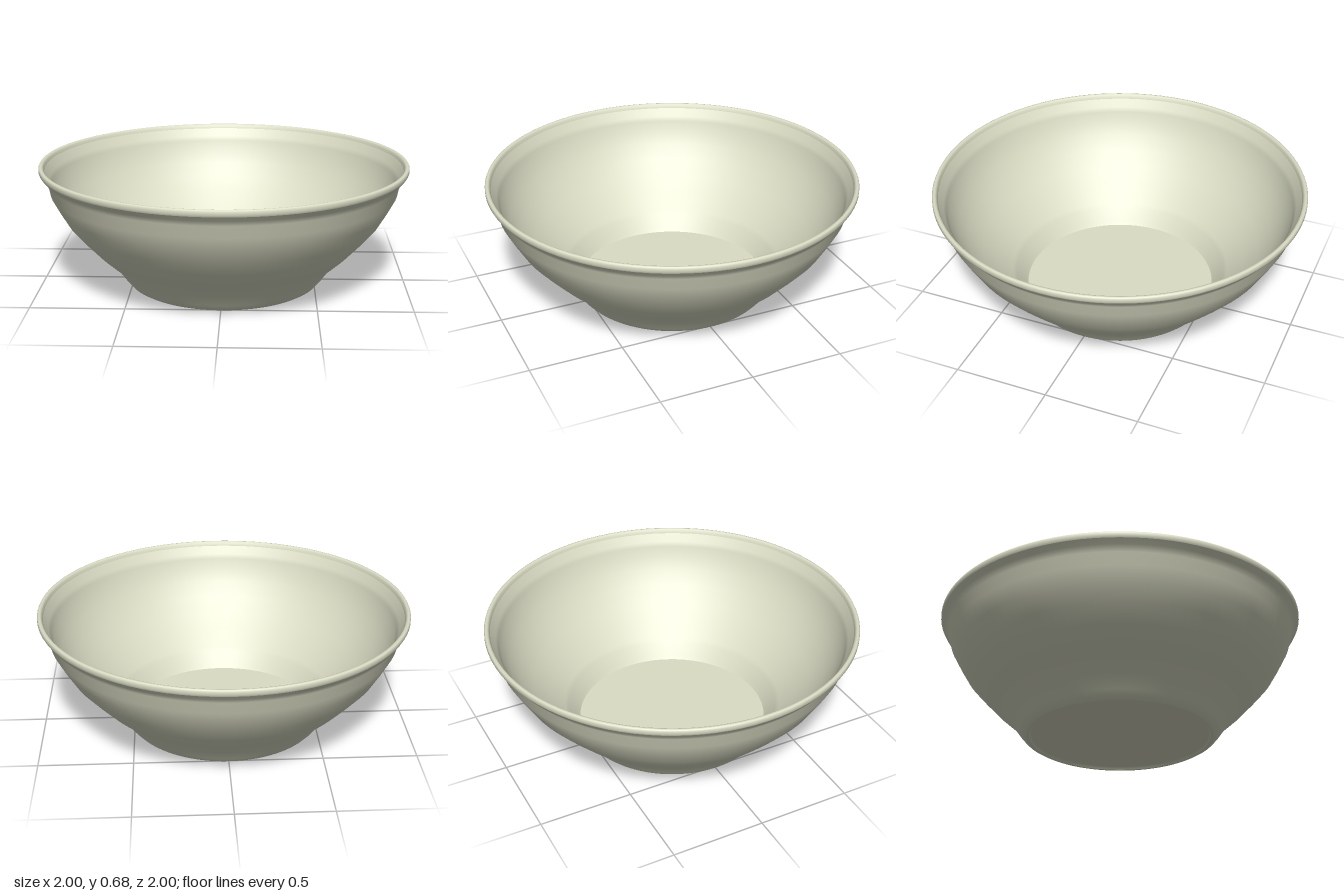
import * as THREE from 'three';

const glaze = new THREE.MeshStandardMaterial({ color: 0xdadcc4 });

// Revolves a smooth profile; points run so that the surface faces outward.
function turned(name, profile) {
  const points = profile.map(([r, y]) => new THREE.Vector2(r, y));
  const mesh = new THREE.Mesh(new THREE.LatheGeometry(points, 96), glaze);
  mesh.name = name;
  return mesh;
}

export function createModel() {
  const bowl = new THREE.Group();
  bowl.name = 'bowl';

  // Slightly recessed underside and the foot ring it sits on
  bowl.add(turned('underside', [[0, 0.015], [0.48, 0.015], [0.49, 0]]));
  bowl.add(turned('footRing', [[0.49, 0], [0.505, 0]]));

  // Outer wall: flared foot, curved belly, stepped neck below the rim
  bowl.add(turned('outerWall', [
    [0.505, 0], [0.525, 0.012], [0.55, 0.04], [0.60, 0.11], [0.70, 0.20],
    [0.78, 0.285], [0.85, 0.365], [0.90, 0.45], [0.94, 0.525], [0.953, 0.59],
    [0.975, 0.62], [0.995, 0.645],
  ]));

  // Rounded lip
  bowl.add(turned('rim', [
    [0.995, 0.645], [1, 0.655], [1, 0.67], [0.996, 0.678], [0.988, 0.68],
    [0.98, 0.678], [0.974, 0.67], [0.97, 0.655],
  ]));

  // Inner wall, following the outside at a thin offset
  bowl.add(turned('innerWall', [
    [0.97, 0.655], [0.945, 0.61], [0.932, 0.585], [0.92, 0.53], [0.88, 0.455],
    [0.83, 0.375], [0.76, 0.295], [0.68, 0.215], [0.60, 0.14],
    [0.58, 0.12], [0.535, 0.055], [0.52, 0.035],
  ]));

  // Flat floor inside
  bowl.add(turned('floor', [[0.52, 0.035], [0, 0.035]]));

  return bowl;
}
